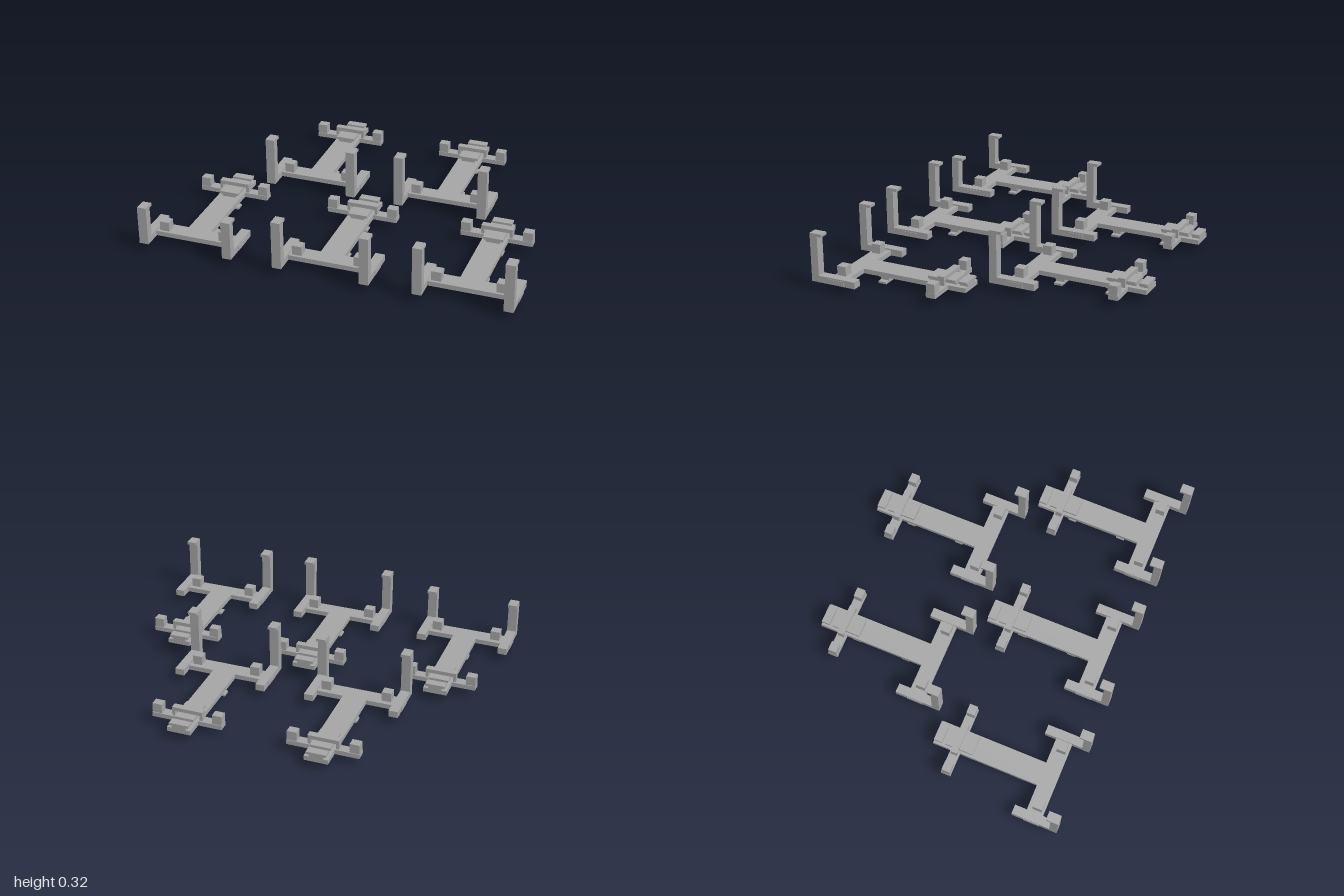
import * as THREE from 'three';

export function createModel() {
  const model = new THREE.Group();
  model.name = 'clipFrames';
  const grey = new THREE.MeshStandardMaterial({ color: 0xa6a6a6 });
  grey.name = 'grey';

  // Box given by its limits on each axis
  const box = (parent, name, x0, x1, y0, y1, z0, z1) => {
    const mesh = new THREE.Mesh(new THREE.BoxGeometry(x1 - x0, y1 - y0, z1 - z0), grey);
    mesh.position.set((x0 + x1) / 2, (y0 + y1) / 2, (z0 + z1) / 2);
    mesh.name = name;
    parent.add(mesh);
  };

  // Extrude a closed outline along one axis, centred on that axis
  const extrude = (points, depth) => new THREE.ExtrudeGeometry(
    new THREE.Shape(points.map(([a, b]) => new THREE.Vector2(a, b))),
    { depth, bevelEnabled: false }).translate(0, 0, -depth / 2);

  // One frame; only the height of the hooked posts varies
  function makeFrame(height) {
    const frame = new THREE.Group();
    frame.name = 'frame';
    box(frame, 'spine', -0.064, 0.064, 0.043, 0.068, 0.02, 0.62);
    box(frame, 'frontCrossbar', -0.26, 0.26, 0.042, 0.068, 0.61, 0.70);
    box(frame, 'rearCrossbar', -0.193, 0.193, 0.043, 0.068, 0.12, 0.173);

    // Side arm, upright post and hook in one profile (z, y)
    const armProfile = [
      [0.545, 0.04], [0.797, 0.04], [0.797, height], [0.73, height],
      [0.73, height - 0.016], [0.755, height - 0.016], [0.755, 0.076], [0.545, 0.076],
    ];
    for (const s of [-1, 1]) {
      const arm = new THREE.Mesh(extrude(armProfile, 0.05).rotateY(-Math.PI / 2), grey);
      // the turn maps the profile's first axis onto +z
      arm.position.x = s * 0.232;
      arm.name = 'hookedArm';
      frame.add(arm);
      const [a, b] = s < 0 ? [-0.192, -0.14] : [0.14, 0.192];
      box(frame, 'frontBlock', a, b, 0.066, 0.119, 0.636, 0.686);
      box(frame, 'rearBlock', a, b, 0.066, 0.119, 0.124, 0.17);
    }

    // Bridge over the sliding catch
    const bridge = new THREE.Mesh(extrude([
      [-0.084, 0.066], [-0.068, 0.066], [-0.068, 0.096], [0.068, 0.096],
      [0.068, 0.066], [0.084, 0.066], [0.084, 0.117], [-0.084, 0.117],
    ], 0.036), grey);
    bridge.position.z = 0.147;
    bridge.name = 'bridge';
    frame.add(bridge);

    // T-shaped catch and stop on the spine
    for (const [name, z0, z1] of [['catch', 0.085, 0.24], ['stop', 0.02, 0.065]]) {
      box(frame, name + 'Stem', -0.038, 0.038, 0.066, 0.081, z0, z1);
      box(frame, name + 'Plate', -0.053, 0.053, 0.08, 0.094, z0, z1);
    }

    // I-section feet
    for (const z of [0.222, 0.508]) {
      box(frame, 'footPad', -0.055, 0.055, 0, 0.011, z - 0.023, z + 0.023);
      box(frame, 'footStem', -0.027, 0.027, 0.01, 0.034, z - 0.023, z + 0.023);
      box(frame, 'footFlange', -0.048, 0.048, 0.033, 0.044, z - 0.023, z + 0.023);
    }
    return frame;
  }

  // Three frames in the front row, two behind: x, z shift, post height
  for (const [x, z, h] of [
    [-0.738, 0, 0.25], [0, 0, 0.302], [0.738, 0, 0.302],
    [-0.369, -0.818, 0.308], [0.369, -0.818, 0.325],
  ]) {
    const frame = makeFrame(h);
    frame.position.set(x, 0, z);
    model.add(frame);
  }
  return model;
}
